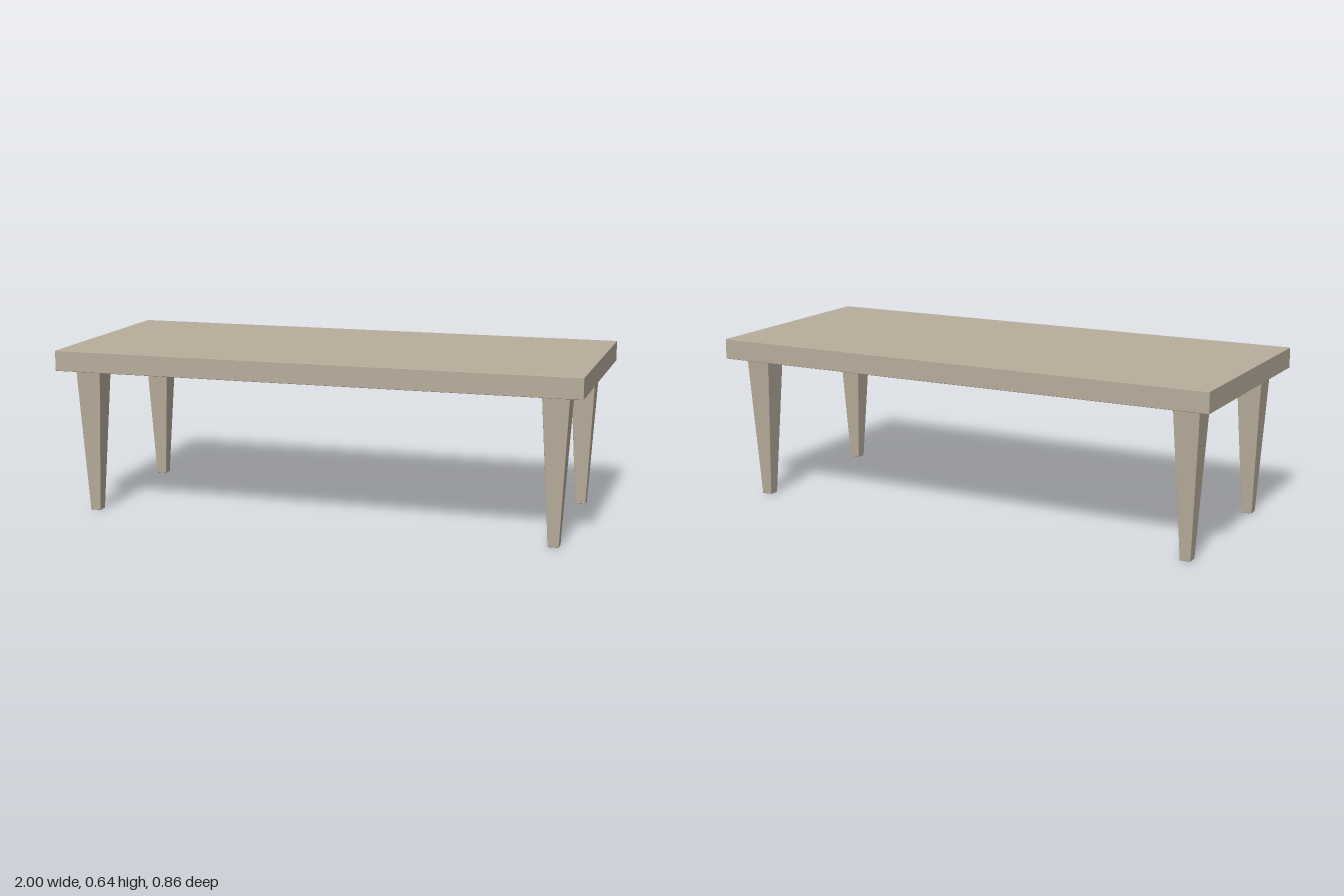
import * as THREE from 'three';
import { RoundedBoxGeometry } from 'three/addons/geometries/RoundedBoxGeometry.js';

const TOP_Y = 0.636, UNDER_Y = 0.558;

// Square leg with softened edges, narrowing towards the floor
function taperedLeg(topWidth, footWidth, height) {
  const geometry = new RoundedBoxGeometry(topWidth, height, topWidth, 1, 0.003);
  geometry.translate(0, height / 2, 0);
  const p = geometry.attributes.position;
  for (let i = 0; i < p.count; i++) {
    const s = THREE.MathUtils.lerp(footWidth / topWidth, 1, p.getY(i) / height);
    p.setX(i, p.getX(i) * s);
    p.setZ(i, p.getZ(i) * s);
  }
  geometry.computeVertexNormals();
  return geometry;
}

export function createModel() {
  const table = new THREE.Group();
  table.name = 'table';
  const wood = new THREE.MeshStandardMaterial({ color: 0xb8ad9c });
  wood.name = 'paleWood';

  // Table top with finely eased edges
  const thickness = TOP_Y - UNDER_Y;
  const top = new THREE.Mesh(new RoundedBoxGeometry(2, thickness, 0.862, 1, 0.002), wood);
  top.name = 'tableTop';
  top.position.y = UNDER_Y + thickness / 2;
  table.add(top);

  // Four legs, mirrored across both axes
  const legGeometry = taperedLeg(0.1, 0.04, UNDER_Y + 0.002);
  for (const [side, x] of [['Left', 0.895], ['Right', -0.895]]) {
    for (const [end, z] of [['front', 0.321], ['back', -0.321]]) {
      const leg = new THREE.Mesh(legGeometry, wood);
      leg.name = `${end}${side}Leg`;
      leg.position.set(x, 0, z);
      table.add(leg);
    }
  }
  return table;
}
